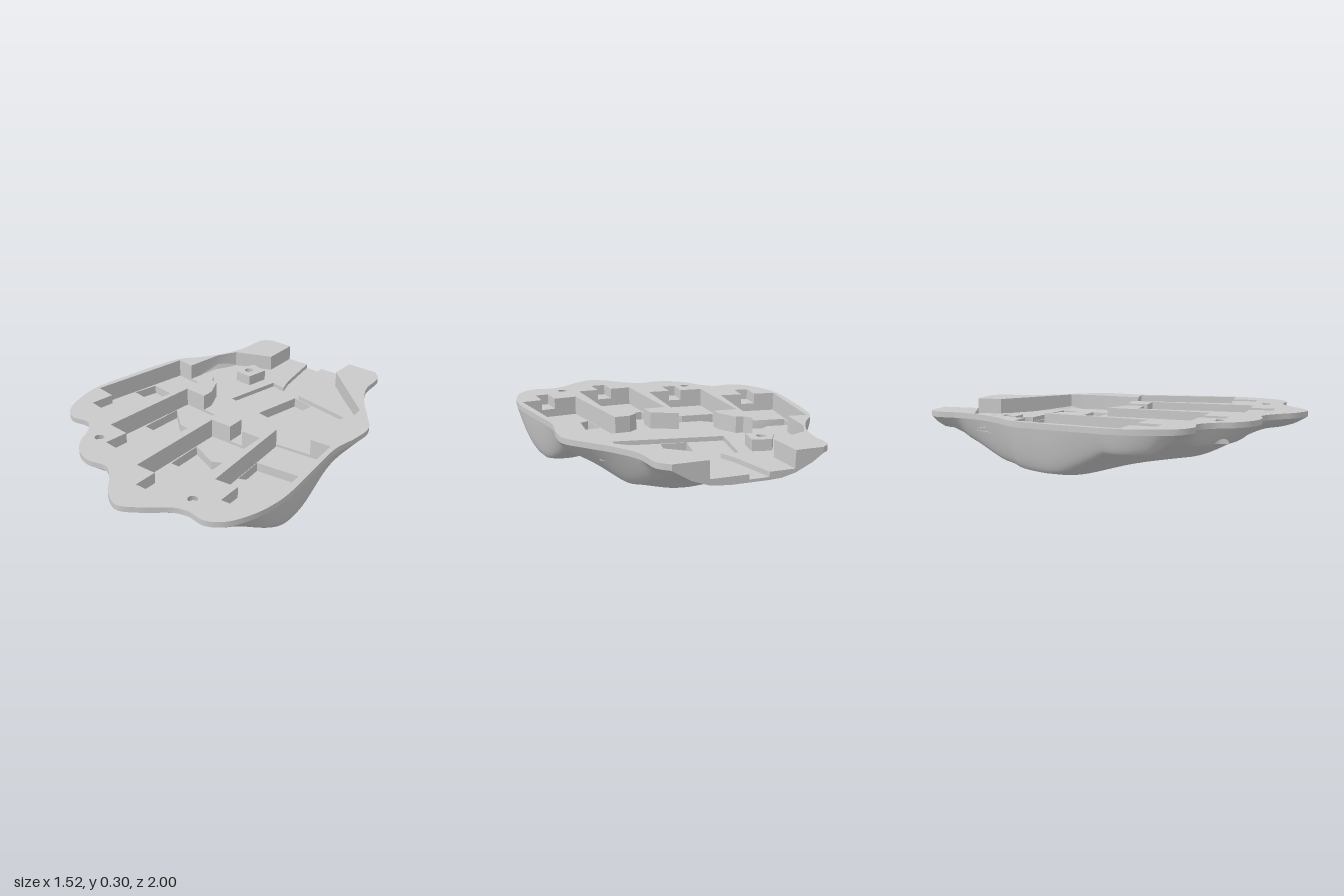
import * as THREE from 'three';
import { toCreasedNormals } from 'three/addons/utils/BufferGeometryUtils.js';

const TOP = 0.3, FLOOR = 0.21, POCKET = 0.195, LOW = 0.185, RECESS = 0.145, TAB = 0.24;

// Outer hand-like outline, [x, z], from back left round the front to back right
const OUTLINE = [[-0.36, -1], [-0.405, -0.96], [-0.425, -0.79], [-0.47, -0.65], [-0.55, -0.52], [-0.64, -0.41],
  [-0.69, -0.24], [-0.73, -0.03], [-0.762, 0.19], [-0.735, 0.36], [-0.68, 0.48], [-0.605, 0.53], [-0.5, 0.52],
  [-0.435, 0.58], [-0.38, 0.69], [-0.3, 0.77], [-0.21, 0.8], [-0.1, 0.785], [-0.02, 0.84], [0.08, 0.95],
  [0.18, 1], [0.28, 0.95], [0.41, 0.85], [0.48, 0.832], [0.58, 0.843], [0.665, 0.79], [0.73, 0.66],
  [0.76, 0.48], [0.738, 0.21], [0.71, -0.08], [0.735, -0.24], [0.733, -0.37], [0.655, -0.49], [0.56, -0.62],
  [0.485, -0.77], [0.465, -0.94], [0.415, -1]];

// Finger pockets: corners, front tab and crosswise recess with its corner reliefs
const FINGERS = [
  { name: 'index', box: [[0.355, -0.05], [0.677, -0.079], [0.73, 0.51], [0.405, 0.54]],
    tab: [[0.615, 0.52], [0.615, 0.66], [0.54, 0.665], [0.535, 0.528]],
    bar: [[0.375, 0.15], [0.69, 0.12], [0.703, 0.27], [0.495, 0.287], [0.392, 0.335]] },
  { name: 'middle', box: [[0.015, 0.08], [0.34, 0.08], [0.34, 0.68], [0.015, 0.68]],
    tab: [[0.22, 0.68], [0.22, 0.815], [0.135, 0.815], [0.135, 0.68]],
    bar: [[0.02, 0.22], [0.18, 0.29], [0.335, 0.22], [0.335, 0.435], [0.025, 0.435]] },
  { name: 'ring', box: [[-0.335, -0.125], [0, -0.095], [-0.05, 0.5], [-0.38, 0.465]],
    tab: [[-0.175, 0.487], [-0.185, 0.625], [-0.265, 0.615], [-0.25, 0.479]],
    bar: [[-0.338, -0.03], [-0.21, 0.088], [-0.03, 0.11], [-0.042, 0.345], [-0.16, 0.245], [-0.35, 0.225]] },
  { name: 'little', box: [[-0.625, -0.395], [-0.32, -0.35], [-0.415, 0.245], [-0.74, 0.19]],
    tab: [[-0.54, 0.225], [-0.56, 0.36], [-0.64, 0.345], [-0.62, 0.21]],
    bar: [[-0.65, -0.19], [-0.51, -0.168], [-0.34, -0.28], [-0.395, 0.07], [-0.515, -0.02], [-0.685, -0.05]] }];
const [INDEX, MIDDLE, RING, LITTLE] = FINGERS;

// Cavity edge runs in pieces between the finger pockets
const EDGE_R = [[0.23, -1], [0.23, -0.85], [0.59, -0.52], [0.6, -0.4], [0.56, -0.069]];
const EDGE_IM = [[0.27, -0.05], [0.22, -0.01], [0.22, 0.08]];
const EDGE_MR = [[0.14, 0.08], [0.14, -0.02]];
const EDGE_RL = [[-0.2, -0.113], [-0.2, -0.18], [-0.25, -0.29], [-0.29, -0.3]];
const EDGE_L = [[-0.52, -0.3795], [-0.485, -0.6], [-0.425, -0.71], [-0.21, -0.79], [-0.21, -1]];
const around = (f) => [f.box[1], f.box[2], ...f.tab, f.box[3], f.box[0]];
const PERIMETER = [...EDGE_R, ...around(INDEX), ...EDGE_IM, ...around(MIDDLE), ...EDGE_MR,
  ...around(RING), ...EDGE_RL, ...around(LITTLE), ...EDGE_L];

// Cable groove joined to the thumb pocket
const GROOVE = [[-0.075, -1], [-0.03, -0.72], [0, -0.629], [-0.09, -0.65], [-0.16, -0.325], [0.425, -0.21],
  [0.485, -0.535], [0.13, -0.6], [0.13, -0.63], [0.07, -0.74], [0.03, -1]];
const CAVITY = [...EDGE_R, INDEX.box[0], ...EDGE_IM, ...EDGE_MR, RING.box[1], ...EDGE_RL, LITTLE.box[1],
  ...EDGE_L, ...GROOVE];
const THUMB_BAR = [[0.105, -0.6], [0.24, -0.57], [0.18, -0.27], [0.04, -0.29]];
const POST = [[-0.26, -0.68], [-0.16, -0.655], [-0.185, -0.53], [-0.29, -0.54], [-0.31, -0.6]];
const HOLES = [{ x: -0.24, z: -0.6, top: 0.27 }, { x: -0.33, z: 0.6, top: TOP }, { x: 0.43, z: 0.74, top: TOP }];
const R_TOP = 0.026, R_BOTTOM = 0.05;

const circle = (h, r) => Array.from({ length: 24 }, (_, i) => {
  const a = i / 24 * Math.PI * 2;
  return [h.x + r * Math.cos(a), h.z + r * Math.sin(a)];
});
const rim = new THREE.CatmullRomCurve3(OUTLINE.map(([x, z]) => new THREE.Vector3(x, 0, z)), false, 'centripetal')
  .getPoints(288).map((p) => [p.x, Math.max(-1, Math.min(1, p.z))]);

// Height of the underside at any point
const ss = (a, b, v) => { const t = Math.min(1, Math.max(0, (v - a) / (b - a))); return t * t * (3 - 2 * t); };
const bump = (x, z, cx, cz, sx, sz) => Math.exp(-(((x - cx) / sx) ** 2) - ((z - cz) / sz) ** 2);
function edgeDistance(x, z) {
  let best = 9;
  for (let i = 1; i < rim.length; i++) {
    const [ax, az] = rim[i - 1], dx = rim[i][0] - ax, dz = rim[i][1] - az;
    const t = Math.min(1, Math.max(0, ((x - ax) * dx + (z - az) * dz) / (dx * dx + dz * dz || 1)));
    best = Math.min(best, Math.hypot(x - ax - t * dx, z - az - t * dz));
  }
  return best;
}
function under(x, z) {
  const side = 0.1 * ss(0.3, 0.6, x);
  const palm = 0.055 + 0.145 * ss(0.4 - side, 0.8 - side / 2, z) + 0.115 * ss(-0.5, -0.85, z)
    + 0.14 * bump(x, z, 0.73, -0.27, 0.36, 0.3) + 0.04 * bump(x, z, 0.3, -0.02, 0.2, 0.12)
    - 0.055 * bump(x, z, -0.46, -0.12, 0.2, 0.22) - 0.06 * bump(x, z, 0.16, -0.42, 0.25, 0.18)
    - 0.035 * bump(x, z, 0.58, 0.2, 0.16, 0.16) - 0.03 * bump(x, z, 0.18, 0.3, 0.14, 0.2);
  // The front left rises as a slope under the ring and little fingers
  const cap = 0.165 + 0.085 * ss(0.32, 0.48, z) * ss(-0.4, -0.55, x);
  const slope = Math.min(cap, -0.18 + 0.42 * (z - x));
  const base = (palm + slope + Math.sqrt((palm - slope) ** 2 + 0.001)) / 2;
  const width = 0.07 + 0.12 * ss(0.5, 0.9, z) + 0.18 * bump(x, z, 0.75, -0.55, 0.3, 0.25)
    + 0.05 * bump(x, z, -0.6, -0.6, 0.2, 0.2) - 0.035 * bump(x, z, -0.75, 0.2, 0.2, 0.2)
    + 0.2 * ss(-0.75, -0.95, z);
  const t = 1 - Math.min(1, edgeDistance(x, z) / width);
  return 0.27 - (0.27 - base) * (1 - t * t);
}

export function createModel() {
  const model = new THREE.Group();
  const grey = new THREE.MeshStandardMaterial({ color: 0xcacaca, side: THREE.DoubleSide });
  grey.name = 'grey plastic';
  const add = (name, geometry) => {
    const mesh = new THREE.Mesh(geometry, grey);
    mesh.name = name;
    model.add(mesh);
  };
  const toShape = (pts, holes = []) => {
    const v = (list) => list.map(([x, z]) => new THREE.Vector2(x, -z));
    const shape = new THREE.Shape(v(pts));
    shape.holes = holes.map((h) => new THREE.Path(v(h)));
    return shape;
  };
  const plate = (name, pts, y, holes) =>
    add(name, new THREE.ShapeGeometry(toShape(pts, holes)).rotateX(-Math.PI / 2).translate(0, y, 0));
  // Strip between two matching lines of [x, y, z] points
  const strip = (name, upper, lower, closed) => {
    const pos = [], n = upper.length;
    for (let i = 0; i < (closed ? n : n - 1); i++) {
      const j = (i + 1) % n;
      pos.push(...upper[i], ...lower[i], ...upper[j], ...upper[j], ...lower[i], ...lower[j]);
    }
    const g = new THREE.BufferGeometry();
    g.setAttribute('position', new THREE.Float32BufferAttribute(pos, 3));
    g.computeVertexNormals();
    add(name, toCreasedNormals(g, 0.5));
  };
  const at = (pts, y) => pts.map(([x, z]) => [x, y, z]);
  const pit = (name, pts, top, bottom, holes) => {
    strip(name + 'Walls', at(pts, top), at(pts, bottom), true);
    plate(name + 'Floor', pts, bottom, holes);
  };

  // Top face with the cavity opening to the back
  plate('topFace', [[-0.21, -1], ...rim, ...PERIMETER.slice(0, -1)], TOP,
    HOLES.slice(1).map((h) => circle(h, R_TOP)));
  strip('cavityWalls', at(PERIMETER, TOP),
    PERIMETER.map(([x, z]) => [x, Math.max(POCKET, under(x, z) + 0.004), z]));
  plate('cavityFloor', CAVITY, FLOOR, [circle(HOLES[0], R_TOP)]);

  // Finger pockets
  for (const f of FINGERS) {
    pit(f.name + 'Pocket', f.box, FLOOR, POCKET, [f.bar]);
    pit(f.name + 'Recess', f.bar, POCKET, RECESS);
    plate(f.name + 'TabFloor', f.tab, TAB);
    const step = [f.tab[3], f.tab[0]];
    strip(f.name + 'TabStep', at(step, TAB), at(step, POCKET));
  }

  // Thumb pocket and cable groove
  strip('grooveWalls', at(GROOVE, FLOOR), at(GROOVE, LOW));
  plate('grooveFloor', GROOVE, LOW, [THUMB_BAR]);
  pit('thumbRecess', THUMB_BAR, LOW, 0.13);

  // Screw post and screw holes, the front two closed by a thin seat
  add('screwPost', new THREE.ExtrudeGeometry(toShape(POST, [circle(HOLES[0], R_TOP)]),
    { depth: 0.06, bevelEnabled: false }).rotateX(-Math.PI / 2).translate(0, FLOOR, 0));
  for (const h of HOLES) {
    strip('screwHole', at(circle(h, R_TOP), h.top),
      circle(h, R_BOTTOM).map(([x, z]) => [x, under(x, z), z]), true);
    if (h.top === TOP) plate('screwSeat', circle(h, R_TOP), TOP - 0.025);
  }

  // Rim wall, stepping down at the back opening
  const back = [0.41, 0.32, 0.232, 0.229, 0.13, 0.031, 0.029, -0.02, -0.074, -0.076, -0.14, -0.209, -0.212, -0.3]
    .map((x) => [x, -1]);
  const loop = [...rim, ...back];
  const rimTop = ([x, z]) => (z > -0.999 || x > 0.23 || x < -0.21 ? TOP : x < 0.03 && x > -0.075 ? LOW : FLOOR);
  strip('rimWall', loop.map((p) => [p[0], rimTop(p), p[1]]), loop.map(([x, z]) => [x, under(x, z), z]), true);

  // Rounded underside: the outline shrunk in rings, opened at the screw holes
  const RINGS = 60, n = loop.length, pos = [], index = [], inside = [];
  for (let r = 0; r <= RINGS; r++) {
    const s = 1 - (r / RINGS) ** 1.4;
    for (const [ox, oz] of loop) {
      let x = ox * s, z = oz * s, cut = false;
      for (const h of HOLES) {
        const d = Math.hypot(x - h.x, z - h.z);
        if (d < R_BOTTOM && d > 0) {
          x = h.x + (x - h.x) * R_BOTTOM / d;
          z = h.z + (z - h.z) * R_BOTTOM / d;
          cut = true;
        }
      }
      inside.push(cut);
      pos.push(x, under(x, z), z);
    }
  }
  const face = (a, b, c) => { if (!(inside[a] && inside[b] && inside[c])) index.push(a, b, c); };
  for (let r = 0; r < RINGS; r++) {
    for (let i = 0; i < n; i++) {
      const a = r * n + i, b = r * n + (i + 1) % n;
      face(a, a + n, b);
      face(b, a + n, b + n);
    }
  }
  const shell = new THREE.BufferGeometry();
  shell.setAttribute('position', new THREE.Float32BufferAttribute(pos, 3));
  shell.setIndex(index);
  shell.computeVertexNormals();
  add('underside', shell);
  return model;
}
